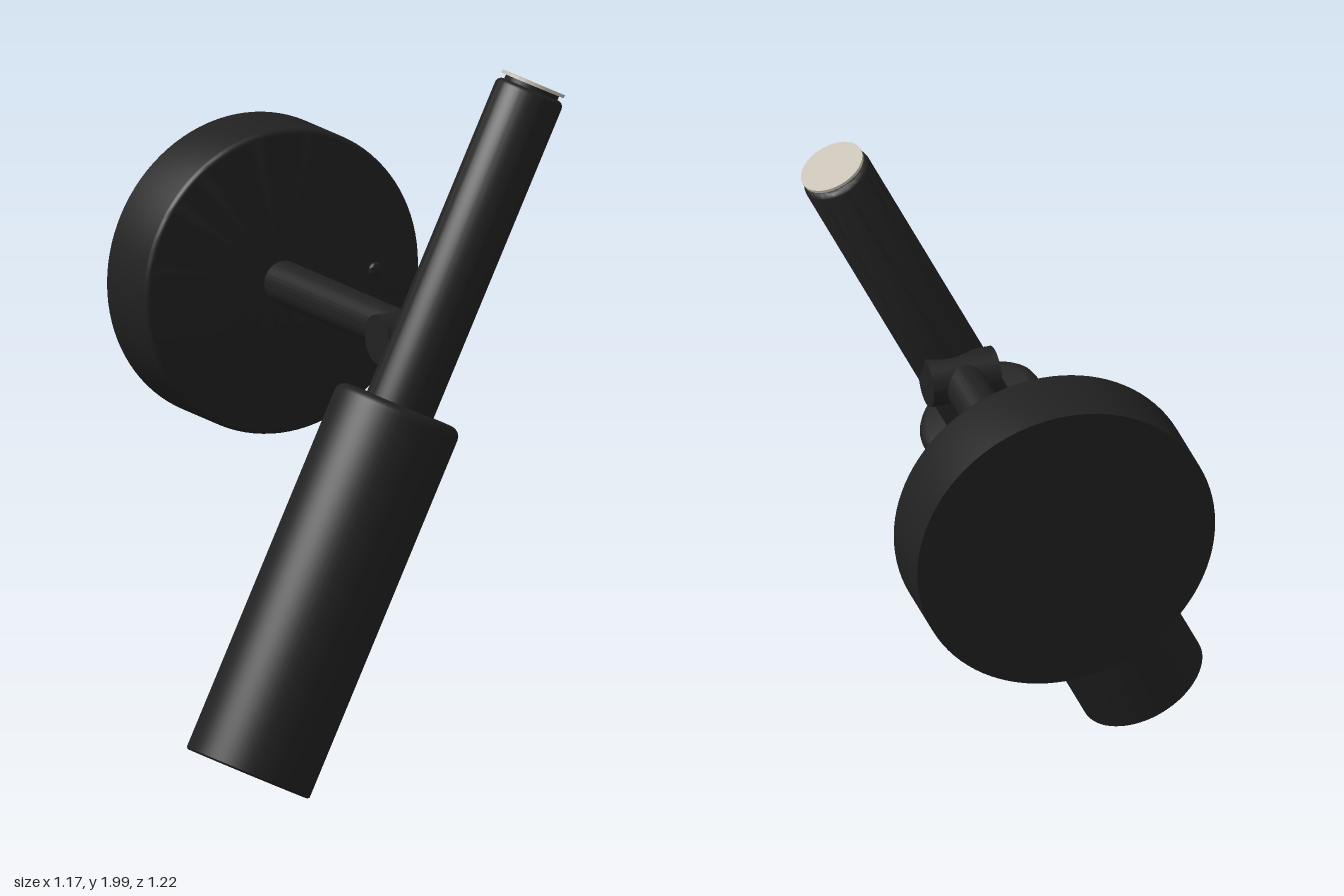
import * as THREE from 'three';
import { toCreasedNormals } from 'three/addons/utils/BufferGeometryUtils.js';

const black = new THREE.MeshStandardMaterial({ color: 0x212121 });
black.name = 'matte black';
const cream = new THREE.MeshStandardMaterial({ color: 0xc8c0b4 });
cream.name = 'warm white';

// Turned part: profile of [radius, height] pairs from bottom to top
function turned(name, profile, material = black, segments = 64) {
  const points = profile.map(([r, y]) => new THREE.Vector2(r, y));
  const geometry = toCreasedNormals(new THREE.LatheGeometry(points, segments), 0.6);
  const mesh = new THREE.Mesh(geometry, material);
  mesh.name = name;
  return mesh;
}

// Quarter-round edge at the top of a turned part
function roundedEdge(radius, top, bevel, steps = 4) {
  return Array.from({ length: steps + 1 }, (_, i) => {
    const a = (i / steps) * Math.PI / 2;
    return [radius - bevel + bevel * Math.cos(a), top - bevel + bevel * Math.sin(a)];
  });
}

export function createModel() {
  const model = new THREE.Group();
  model.name = 'wallLamp';

  // Tilted lamp head, built upright from the centre of its lower end
  const head = new THREE.Group();
  head.name = 'lampHead';
  head.position.set(-0.42, 0.083, 0.425);
  head.rotation.z = -0.453;
  head.add(
    turned('shade', [
      [0, 0.025], [0.165, 0.025], [0.165, 0.005], [0.17, 0], [0.18, 0], [0.185, 0.005],
      ...roundedEdge(0.185, 1.11, 0.03), [0, 1.11],
    ]),
    turned('rod', [[0, 1.09], [0.1, 1.09], ...roundedEdge(0.1, 2.06, 0.018), [0, 2.06]]),
    turned('capNeck', [[0, 2.05], [0.08, 2.05], [0.08, 2.073], [0, 2.073]]),
    turned('endCap', [[0, 2.072], [0.094, 2.072], [0.094, 2.081], [0, 2.081]], cream),
  );
  model.add(head);

  // Wall mount, turned so that its axis points forward
  const mount = new THREE.Group();
  mount.name = 'wallMount';
  mount.position.set(0.145, 1.25, -0.61);
  mount.rotation.x = Math.PI / 2;
  const screw = turned('screw', [[0.021, 0.215], ...roundedEdge(0.021, 0.237, 0.008), [0, 0.237]], black, 24);
  screw.position.x = 0.292;
  mount.add(
    turned('wallPlate', [[0, 0], [0.436, 0], ...roundedEdge(0.436, 0.223, 0.016), [0, 0.223]], black, 96),
    turned('arm', [[0, 0.21], [0.06, 0.21], [0.06, 0.92], [0, 0.92]]),
    screw,
  );
  model.add(mount);

  // Horizontal pivot between arm and rod
  const pivot = turned('pivot', [[0, -0.1], [0.07, -0.1], [0.07, 0.1], [0, 0.1]]);
  pivot.position.set(0.145, 1.25, 0.33);
  pivot.rotation.z = Math.PI / 2;
  model.add(pivot);

  return model;
}
